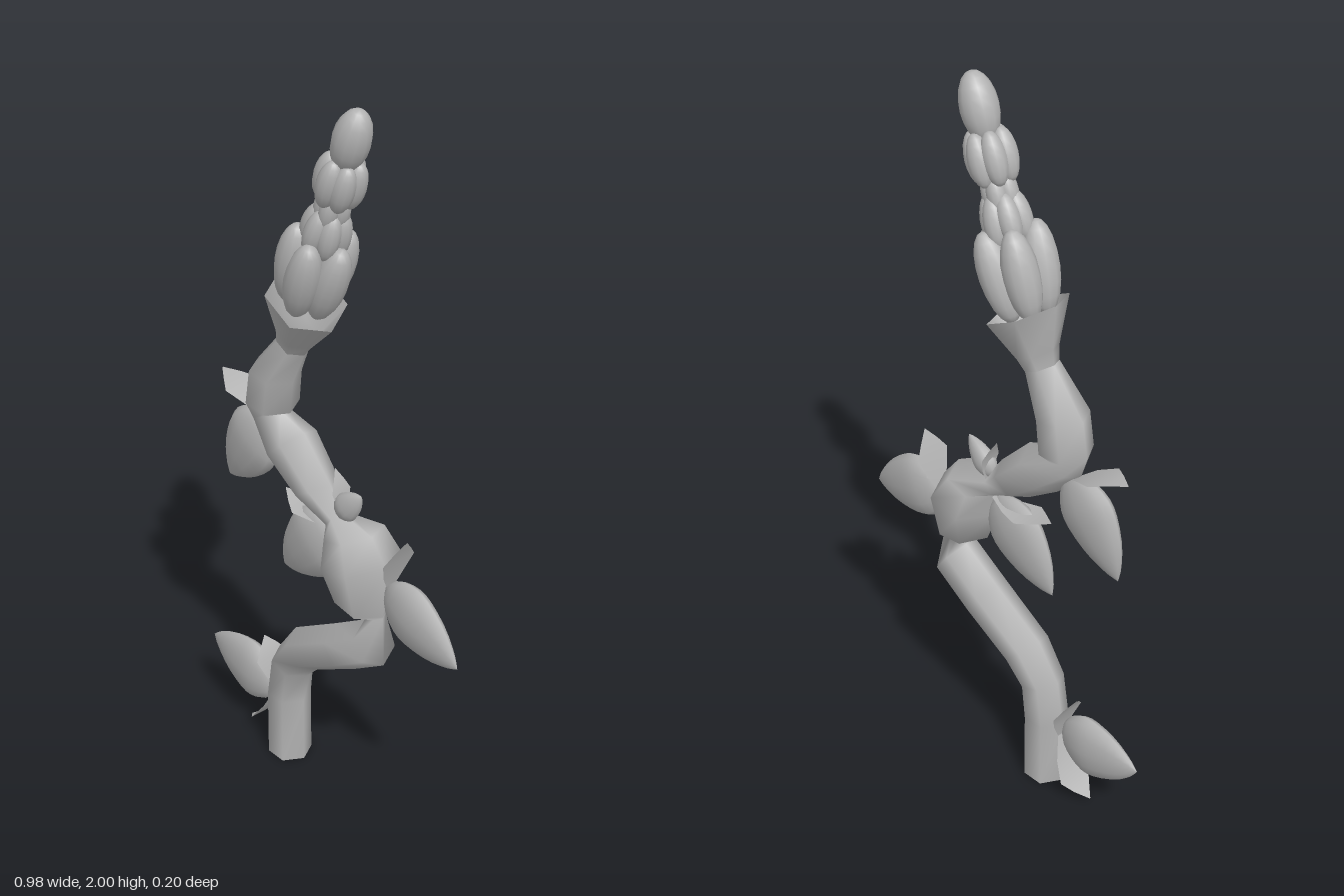
import * as THREE from 'three';

const Z = -0.015; // depth of the stem's plane

export function createModel() {
  const model = new THREE.Group();
  model.name = 'buddingPlant';
  const grey = new THREE.MeshStandardMaterial({ color: 0xb4b4b4, side: THREE.DoubleSide });
  grey.name = 'plantGrey';

  const add = (name, geometry, parent = model) => {
    const mesh = new THREE.Mesh(geometry, grey);
    mesh.name = name;
    parent.add(mesh);
    return mesh;
  };

  // Surface through rows of points, optionally closed around
  const skin = (rows, closed) => {
    const n = rows[0].length, index = [];
    for (let i = 0; i < rows.length - 1; i++) {
      for (let j = 0; j < (closed ? n : n - 1); j++) {
        const a = i * n + j, b = i * n + (j + 1) % n;
        index.push(a, a + n, b, b, a + n, b + n);
      }
    }
    const g = new THREE.BufferGeometry();
    g.setAttribute('position', new THREE.Float32BufferAttribute(rows.flat(2), 3));
    g.setIndex(index);
    g.computeVertexNormals();
    return g;
  };

  // Hexagonal ring between a left and a right edge point
  const ring = ([lx, ly, rx, ry, depth = 1]) => {
    const r = Math.hypot(rx - lx, ry - ly) / 2 * depth;
    return Array.from({ length: 6 }, (_, i) => {
      const a = i * Math.PI / 3, t = (1 + Math.cos(a)) / 2;
      return [lx + (rx - lx) * t, ly + (ry - ly) * t, Z + r * Math.sin(a)];
    });
  };

  // Zigzag stem with swollen joints
  add('stem', skin([
    [-0.22, 0, -0.10, 0],
    [-0.22, 0.20, -0.10, 0.20],
    [-0.20, 0.33, -0.09, 0.29],
    [-0.13, 0.43, -0.04, 0.34],
    [0.03, 0.53, 0.10, 0.42],
    [0.145, 0.605, 0.22, 0.50],
    [0.165, 0.64, 0.215, 0.645],
    [0.065, 0.67, 0.215, 0.65],
    [0.035, 0.76, 0.225, 0.80, 1.13],
    [0.035, 0.83, 0.17, 0.87, 1.2],
    [0.015, 0.835, 0.055, 0.885],
    [-0.09, 0.885, 0.01, 0.95],
    [-0.19, 0.955, -0.09, 1.055],
    [-0.265, 1.035, -0.185, 1.08],
    [-0.285, 1.10, -0.145, 1.09],
    [-0.27, 1.20, -0.135, 1.18],
    [-0.17, 1.32, -0.09, 1.28],
  ].map(ring), true));

  // Open cup below the flower spike
  add('cup', skin([
    [-0.17, 1.32, -0.09, 1.28],
    [-0.165, 1.36, -0.065, 1.31],
    [-0.175, 1.49, 0.015, 1.39],
  ].map(ring), true));

  // Flower spike: layers of egg-shaped buds around a leaning axis
  const spike = new THREE.Group();
  spike.name = 'flowerSpike';
  spike.position.set(-0.08, 1.44, Z);
  spike.rotation.z = -0.33;
  model.add(spike);
  const egg = new THREE.SphereGeometry(1, 12, 10);
  const layers = [ // height, ring radius, half length, half width, count, turn, lean
    ['lowerBud', 0.10, 0.056, 0.12, 0.046, 5, 0, 0.1],
    ['middleBud', 0.235, 0.036, 0.065, 0.029, 6, 0.5, -0.1],
    ['neckBud', 0.295, 0.022, 0.055, 0.025, 4, 0.3, 0],
    ['upperBud', 0.385, 0.036, 0.068, 0.031, 6, 0.5, 0],
    ['tipBud', 0.505, 0, 0.088, 0.048, 1, 0, 0],
    ['core', 0.26, 0, 0.24, 0.035, 1, 0, 0],
  ];
  for (const [name, y, r, half, width, count, turn, lean] of layers) {
    for (let i = 0; i < count; i++) {
      const pivot = new THREE.Group();
      pivot.rotation.y = (i + turn) / count * Math.PI * 2;
      spike.add(pivot);
      const bud = add(name, egg, pivot);
      bud.position.set(r, y, 0);
      bud.scale.set(width, half, width);
      bud.rotation.z = -lean;
    }
  }

  // Flattened pods, pointed at the tip
  const outline = new THREE.SplineCurve([
    [0, 0], [0.6, 0.09], [0.96, 0.27], [0.98, 0.45], [0.72, 0.7], [0.32, 0.9], [0, 1],
  ].map(([x, y]) => new THREE.Vector2(x, y)));
  const podShape = new THREE.LatheGeometry(
    outline.getPoints(14).map(p => new THREE.Vector2(Math.max(p.x, 0), p.y)), 12);
  const pod = (bx, by, tx, ty, half, thick) => {
    const m = add('pod', podShape);
    m.position.set(bx, by, Z);
    m.rotation.z = Math.atan2(ty - by, tx - bx) - Math.PI / 2;
    m.scale.set(half, Math.hypot(tx - bx, ty - by), thick);
  };
  pod(-0.22, 0.175, -0.49, 0.21, 0.092, 0.036);
  pod(0.225, 0.75, 0.49, 0.64, 0.09, 0.036);
  pod(0.03, 0.83, -0.175, 0.615, 0.098, 0.036);
  pod(-0.235, 1.035, -0.40, 0.79, 0.092, 0.036);
  pod(0.04, 0.88, 0.13, 0.97, 0.038, 0.025);

  // Thin curved leaves, broad across the depth: base, bend, tip, half width
  const leaf = (bx, by, mx, my, tx, ty, half) => {
    const curve = new THREE.QuadraticBezierCurve(
      new THREE.Vector2(bx, by), new THREE.Vector2(mx, my), new THREE.Vector2(tx, ty));
    const rows = [[0, 0.15], [0.3, 0.65], [0.6, 1], [0.8, 0.55], [1, 0.02]].map(([t, w]) => {
      const p = curve.getPoint(t);
      return [-1, 0, 1].map(s => [p.x, p.y, Z - 0.008 + s * w * half]);
    });
    add('leaf', skin(rows, false));
  };
  leaf(-0.22, 0.17, -0.23, 0.26, -0.275, 0.32, 0.052);
  leaf(-0.22, 0.17, -0.25, 0.06, -0.335, 0.015, 0.052);
  leaf(0.23, 0.74, 0.25, 0.83, 0.29, 0.91, 0.052);
  leaf(0.03, 0.83, -0.07, 0.82, -0.175, 0.85, 0.05);
  leaf(0.05, 0.86, 0.06, 0.93, 0.02, 1.0, 0.03);
  leaf(-0.25, 1.03, -0.32, 1.09, -0.43, 1.1, 0.055);

  return model;
}
